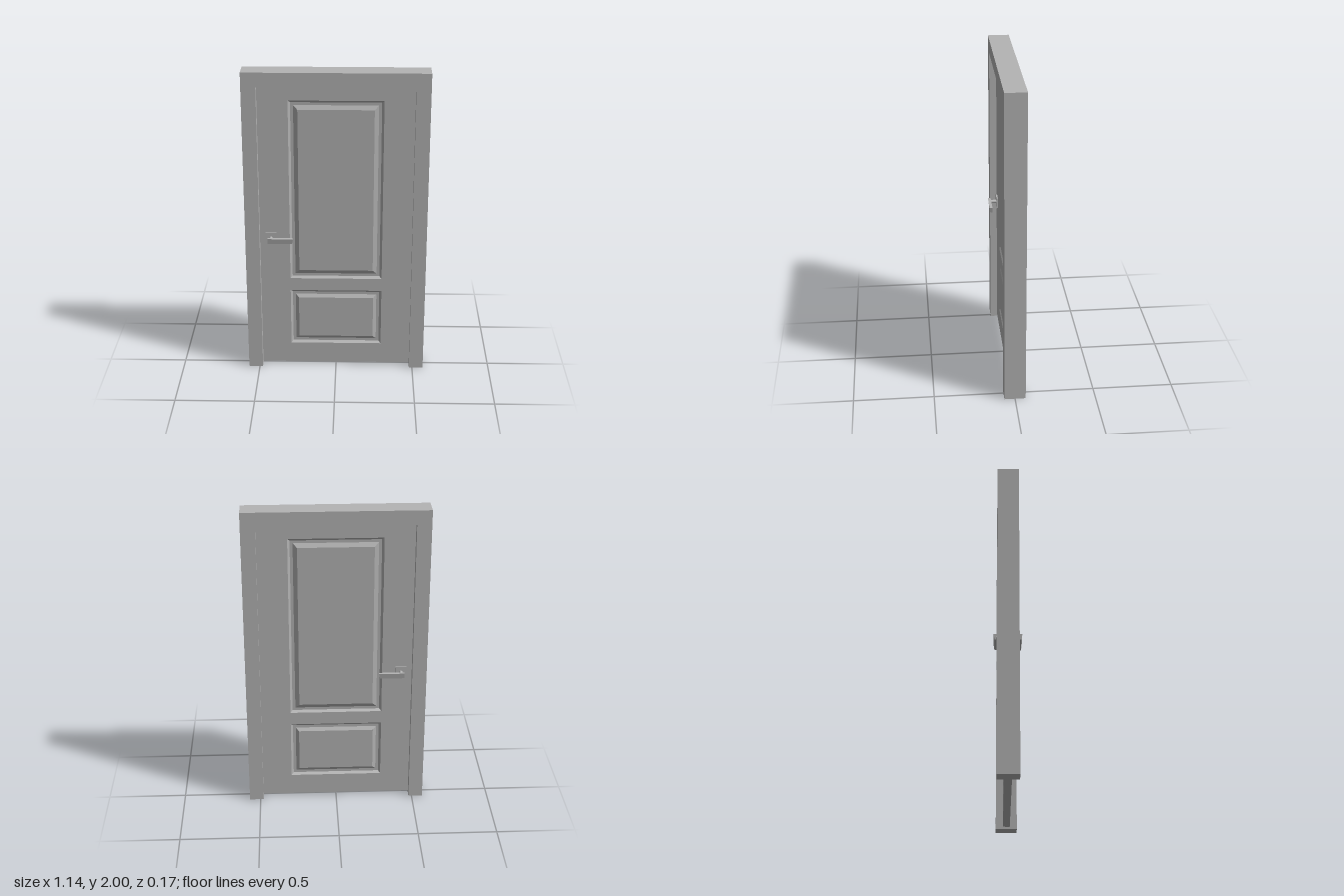
import * as THREE from 'three';

const FRAME_Z = 0.0665; // half depth of the surround
const LEAF_Z = 0.022;   // half thickness of the door leaf

const rect = (C, x0, y0, x1, y1) => {
  const p = new C();
  p.moveTo(x0, y0); p.lineTo(x1, y0); p.lineTo(x1, y1); p.lineTo(x0, y1); p.closePath();
  return p;
};

// Nested rectangles [inset, height] stepped inwards, closed by a flat centre
function reliefGeometry(w, h, steps) {
  const rings = steps.map(([d, z]) => {
    const x = w / 2 - d, y = h / 2 - d;
    return [[-x, -y, z], [x, -y, z], [x, y, z], [-x, y, z]];
  });
  const pos = [];
  const quad = (a, b, c, d) => pos.push(...a, ...b, ...c, ...a, ...c, ...d);
  for (let r = 0; r < rings.length - 1; r++) {
    for (let i = 0; i < 4; i++) {
      const j = (i + 1) % 4;
      quad(rings[r][i], rings[r][j], rings[r + 1][j], rings[r + 1][i]);
    }
  }
  quad(...rings[rings.length - 1]);
  const g = new THREE.BufferGeometry();
  g.setAttribute('position', new THREE.Float32BufferAttribute(pos, 3));
  g.computeVertexNormals();
  return g;
}

export function createModel() {
  const model = new THREE.Group();
  model.name = 'door';
  const grey = new THREE.MeshStandardMaterial({ color: 0xb4b4b4 });
  grey.name = 'plainGrey';

  const add = (parent, name, geometry, x = 0, y = 0, z = 0) => {
    const m = new THREE.Mesh(geometry, grey);
    m.name = name;
    m.position.set(x, y, z);
    parent.add(m);
    return m;
  };

  // Surround: one piece, open at the floor
  const surround = new THREE.Shape();
  [[-0.57, 0], [-0.48, 0], [-0.48, 1.91], [0.48, 1.91], [0.48, 0], [0.57, 0], [0.57, 2], [-0.57, 2]]
    .forEach(([x, y], i) => (i ? surround.lineTo(x, y) : surround.moveTo(x, y)));
  add(model, 'doorFrame',
    new THREE.ExtrudeGeometry(surround, { depth: FRAME_Z * 2, bevelEnabled: false }), 0, 0, -FRAME_Z);

  // Leaf with openings for the two panels
  const panels = [
    { name: 'upperPanel', y0: 0.625, y1: 1.815, bevel: 0.026 },
    { name: 'lowerPanel', y0: 0.155, y1: 0.54, bevel: 0.021 },
  ];
  const PX = 0.292;
  const leaf = rect(THREE.Shape, -0.48, 0.015, 0.48, 1.91);
  panels.forEach(p => leaf.holes.push(rect(THREE.Path, -PX, p.y0, PX, p.y1)));
  add(model, 'doorLeaf',
    new THREE.ExtrudeGeometry(leaf, { depth: LEAF_Z * 2, bevelEnabled: false }), 0, 0, -LEAF_Z);

  for (const s of [1, -1]) {
    const side = s > 0 ? 'front' : 'back';

    // Chamfered groove around a raised field
    for (const p of panels) {
      const g = reliefGeometry(PX * 2, p.y1 - p.y0,
        [[0, 0], [0.014, -0.013], [0.032, -0.013], [0.032 + p.bevel, 0]]);
      const m = add(model, `${side} ${p.name}`, g, 0, (p.y0 + p.y1) / 2, s * LEAF_Z);
      if (s < 0) m.rotation.y = Math.PI;
    }

    // Handle: square plate, round neck, tapered lever
    const handle = new THREE.Group();
    handle.name = `${side}Handle`;
    model.add(handle);
    add(handle, 'handlePlate', new THREE.BoxGeometry(0.07, 0.07, 0.01), -0.41, 0.91, s * (LEAF_Z + 0.004));
    const neck = new THREE.CylinderGeometry(0.011, 0.011, 0.045, 16).rotateX(Math.PI / 2);
    add(handle, 'handleNeck', neck, -0.41, 0.91, s * 0.049);
    const lever = new THREE.BoxGeometry(0.16, 0.035, 0.018);
    const v = lever.attributes.position;
    for (let i = 0; i < v.count; i++) {
      if (v.getY(i) > 0) continue;
      if (v.getZ(i) * s > 0) v.setZ(i, v.getZ(i) - s * 0.005);
      if (v.getX(i) > 0) v.setX(i, v.getX(i) - 0.008);
    }
    lever.computeVertexNormals();
    add(handle, 'handleLever', lever, -0.348, 0.909, s * 0.076);
  }
  return model;
}
